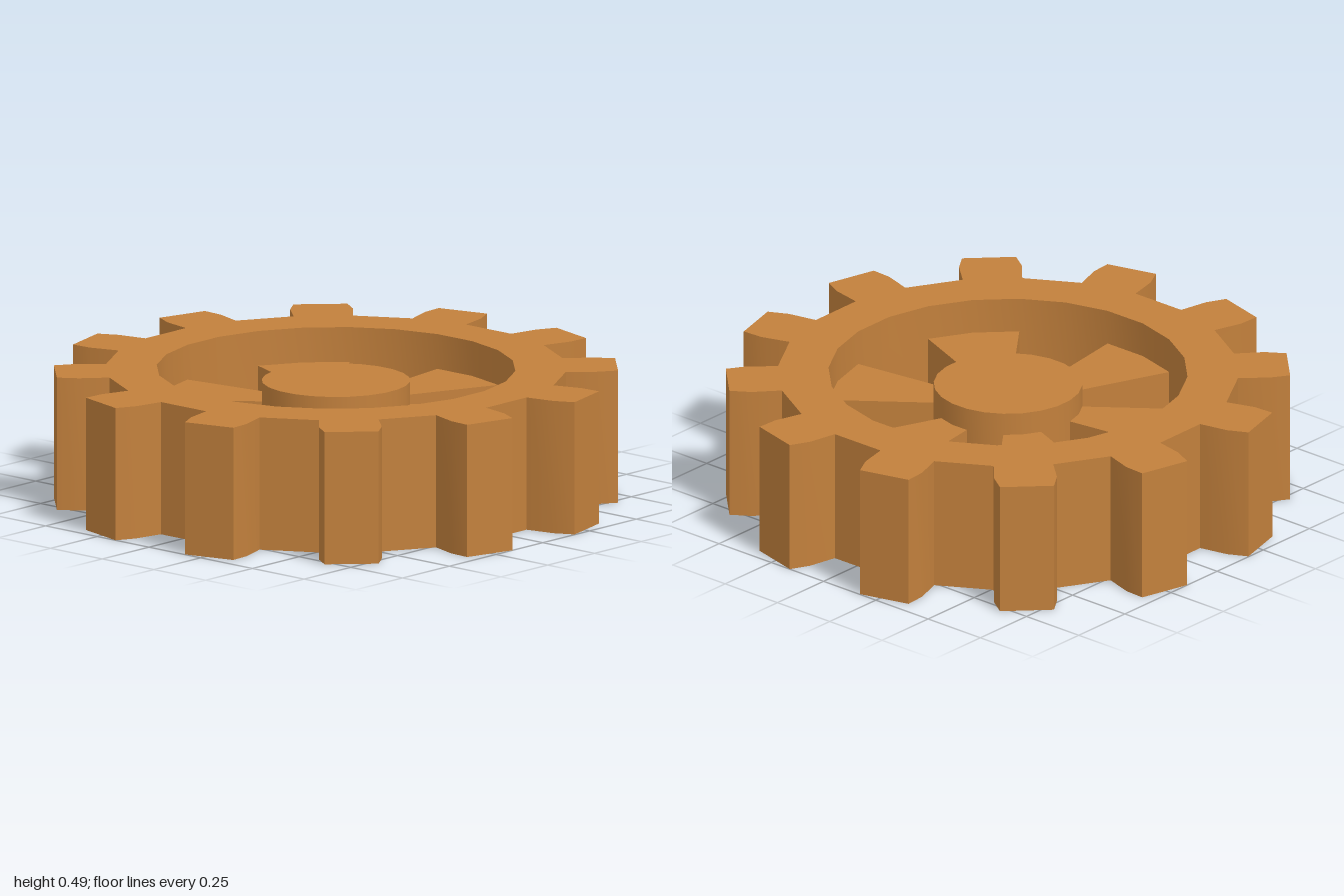
import * as THREE from 'three';
import { toCreasedNormals } from 'three/addons/utils/BufferGeometryUtils.js';

const TEETH = 12, SPOKES = 6, SIDES = 24;
const PHASE = THREE.MathUtils.degToRad(7.2); // turn of the whole wheel
const STEP = (Math.PI * 2) / SIDES;

// Point at radius r, angle a measured clockwise from the back
const polar = (r, a) => new THREE.Vector2(r * Math.sin(a), r * Math.cos(a));

const ring = (r) => Array.from({ length: SIDES }, (_, i) => polar(r, PHASE + i * STEP));

// Upright prism between heights y0 and y1
function prism(name, shape, y0, y1, material) {
  const extruded = new THREE.ExtrudeGeometry(shape, { depth: y1 - y0, bevelEnabled: false });
  extruded.rotateX(-Math.PI / 2);
  extruded.translate(0, y0, 0);
  const mesh = new THREE.Mesh(toCreasedNormals(extruded, 0.5), material);
  mesh.name = name;
  return mesh;
}

export function createModel() {
  const group = new THREE.Group();
  group.name = 'gearWheel';
  const wood = new THREE.MeshStandardMaterial({ color: 0xc2803c });

  // Toothed rim: one tooth outline (half width, radius) repeated around
  const half = [[0.107, 0.82], [0.113, 0.93], [0.097, 1.008]];
  const tooth = [
    ...half.map(([w, r]) => [-w, r]),
    ...half.slice().reverse(),
  ];
  const outline = [];
  for (let i = 0; i < TEETH; i++) {
    const a = PHASE + STEP / 2 + (i * Math.PI * 2) / TEETH;
    for (const [w, r] of tooth) {
      outline.push(new THREE.Vector2(w, r).rotateAround(new THREE.Vector2(), -a));
    }
  }
  const rim = new THREE.Shape(outline);
  // The hole runs opposite to the outline so its wall faces inward
  rim.holes.push(new THREE.Path(ring(0.645).reverse()));
  group.add(prism('toothedRim', rim, 0, 0.487, wood));

  // Hub
  group.add(prism('hub', new THREE.Shape(ring(0.267)), 0.045, 0.442, wood));

  // Wedge spokes, thinner than hub and rim
  for (let i = 0; i < SPOKES; i++) {
    const a = PHASE + (i * Math.PI * 2) / SPOKES;
    const wedge = new THREE.Shape([
      polar(0.22, a - STEP), polar(0.65, a - STEP), polar(0.65, a),
      polar(0.65, a + STEP), polar(0.22, a + STEP),
    ]);
    group.add(prism('spoke' + (i + 1), wedge, 0.128, 0.359, wood));
  }
  return group;
}
